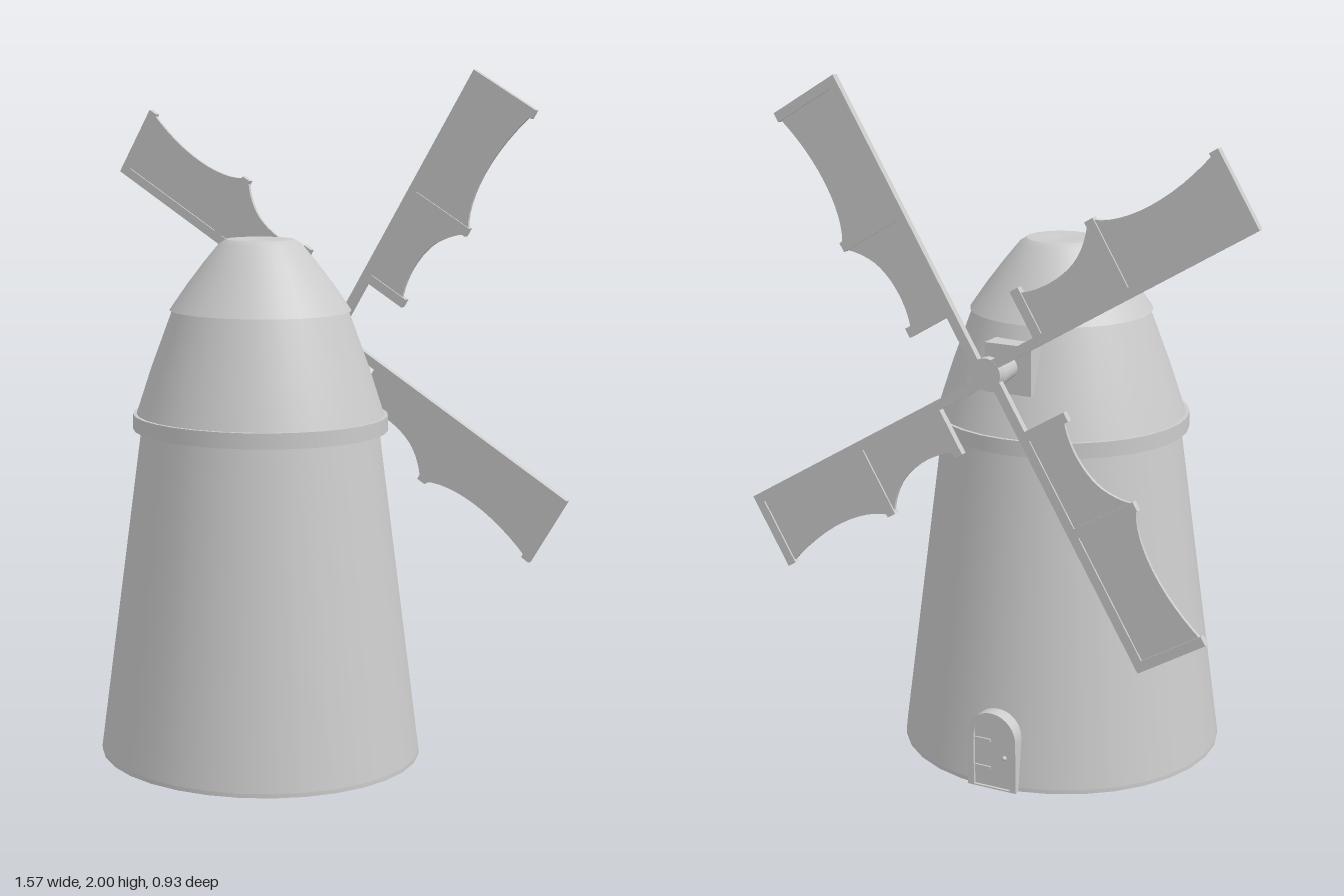
import * as THREE from 'three';

const material = new THREE.MeshStandardMaterial({ color: 0xcccccc, side: THREE.DoubleSide });

function add(parent, name, geometry, x = 0, y = 0, z = 0) {
  const mesh = new THREE.Mesh(geometry, material);
  mesh.name = name;
  mesh.position.set(x, y, z);
  parent.add(mesh);
  return mesh;
}

const box = (w, h, d) => new THREE.BoxGeometry(w, h, d);

// One smooth surface of revolution; every hard edge starts a new one
function turned(parent, name, points) {
  const profile = points.map(([r, y]) => new THREE.Vector2(r, y));
  return add(parent, name, new THREE.LatheGeometry(profile, 32));
}

function extrude(shape, depth) {
  return new THREE.ExtrudeGeometry(shape, { depth, bevelEnabled: false, curveSegments: 12 })
    .translate(0, 0, -depth / 2);
}

// Arched outline standing on y = 0
function arch(PathType, width, height, bottom = 0) {
  const r = width / 2;
  const path = new PathType();
  path.moveTo(-r, bottom);
  path.lineTo(r, bottom);
  path.lineTo(r, height - r);
  path.absarc(0, height - r, r, 0, Math.PI, false);
  path.lineTo(-r, bottom);
  return path;
}

// One sail: stock along +x, cloth hanging towards -y
function createSail() {
  const sail = new THREE.Group();
  sail.name = 'sail';
  const length = 0.91, bar = 0.028, thick = 0.02;

  add(sail, 'stock', box(length, bar, thick), length / 2, -bar / 2, 0);
  const ribs = [['innerRib', 0.2, 0.165], ['middleRib', 0.495, 0.23], ['tipRib', length - bar / 2, 0.229]];
  for (const [name, u, width] of ribs) {
    add(sail, name, box(bar, width, thick), u, -width / 2, 0);
  }

  // Thin panel with two scalloped bays
  const cloth = new THREE.Shape();
  cloth.moveTo(0.19, -0.01);
  cloth.lineTo(0.19, -0.16);
  cloth.bezierCurveTo(0.25, -0.125, 0.37, -0.125, 0.43, -0.17);
  cloth.quadraticCurveTo(0.465, -0.195, 0.485, -0.225);
  cloth.lineTo(0.505, -0.225);
  cloth.bezierCurveTo(0.58, -0.175, 0.74, -0.17, 0.9, -0.226);
  cloth.lineTo(0.9, -0.01);
  add(sail, 'sailPanel', extrude(cloth, 0.01));
  return sail;
}

export function createModel() {
  const model = new THREE.Group();
  model.name = 'windmill';

  // Tower, slightly narrower from front to back and open below
  const tower = new THREE.Group();
  tower.name = 'tower';
  tower.position.set(-0.007, 0, 0.009);
  tower.scale.z = 0.965;
  model.add(tower);
  turned(tower, 'baseRim', [[0.476, 0], [0.476, 0.012]]);
  turned(tower, 'towerWall', [[0.476, 0.012], [0.35, 0.97]]);

  // Gallery band
  turned(tower, 'bandUnderside', [[0.345, 0.965], [0.375, 0.965]]);
  turned(tower, 'bandFace', [[0.375, 0.965], [0.375, 1.01]]);
  turned(tower, 'bandTop', [[0.375, 1.01], [0.355, 1.01]]);

  // Upper wall and cap with a small eave
  turned(tower, 'upperWall', [[0.366, 1.005], [0.32, 1.145], [0.255, 1.32]]);
  turned(tower, 'eave', [[0.25, 1.312], [0.266, 1.312]]);
  turned(tower, 'cap', [[0.266, 1.312], [0.215, 1.385], [0.165, 1.45], [0.122, 1.502], [0.1, 1.516]]);
  turned(tower, 'capTop', [[0.1, 1.516], [0.07, 1.518], [0, 1.512]]);

  // Axle and its bearing block
  const hubX = -0.004, hubY = 1.215;
  add(model, 'bearingBlock', box(0.145, 0.14, 0.09), hubX, 1.2, -0.268);
  const axle = add(model, 'axle', new THREE.CylinderGeometry(0.044, 0.03, 0.12, 20), hubX, 1.207, -0.365);
  axle.rotation.x = -Math.PI / 2;
  const hub = add(model, 'hub', new THREE.CylinderGeometry(0.046, 0.046, 0.026, 20), hubX, hubY, -0.428);
  hub.rotation.x = Math.PI / 2;

  // Four sails
  const rotor = new THREE.Group();
  rotor.name = 'sails';
  rotor.position.set(hubX, hubY, -0.43);
  model.add(rotor);
  for (let i = 0; i < 4; i++) {
    const sail = createSail();
    sail.rotation.z = THREE.MathUtils.degToRad(59.4 + 90 * i);
    rotor.add(sail);
  }

  // Arched door on the sail side, turned to face backwards
  const door = new THREE.Group();
  door.name = 'door';
  door.position.set(-0.022, 0, -0.43);
  door.rotation.y = Math.PI;
  model.add(door);
  const frame = arch(THREE.Shape, 0.155, 0.232);
  frame.holes.push(arch(THREE.Path, 0.115, 0.212, 0.004));
  add(door, 'doorFrame', extrude(frame, 0.06));
  add(door, 'doorLeaf', extrude(arch(THREE.Shape, 0.118, 0.213), 0.044));
  for (const y of [0.06, 0.145]) {
    add(door, 'hinge', box(0.05, 0.009, 0.006), -0.03, y, 0.024);
  }
  add(door, 'doorKnob', new THREE.SphereGeometry(0.007, 10, 8), 0.04, 0.1, 0.026);

  return model;
}
